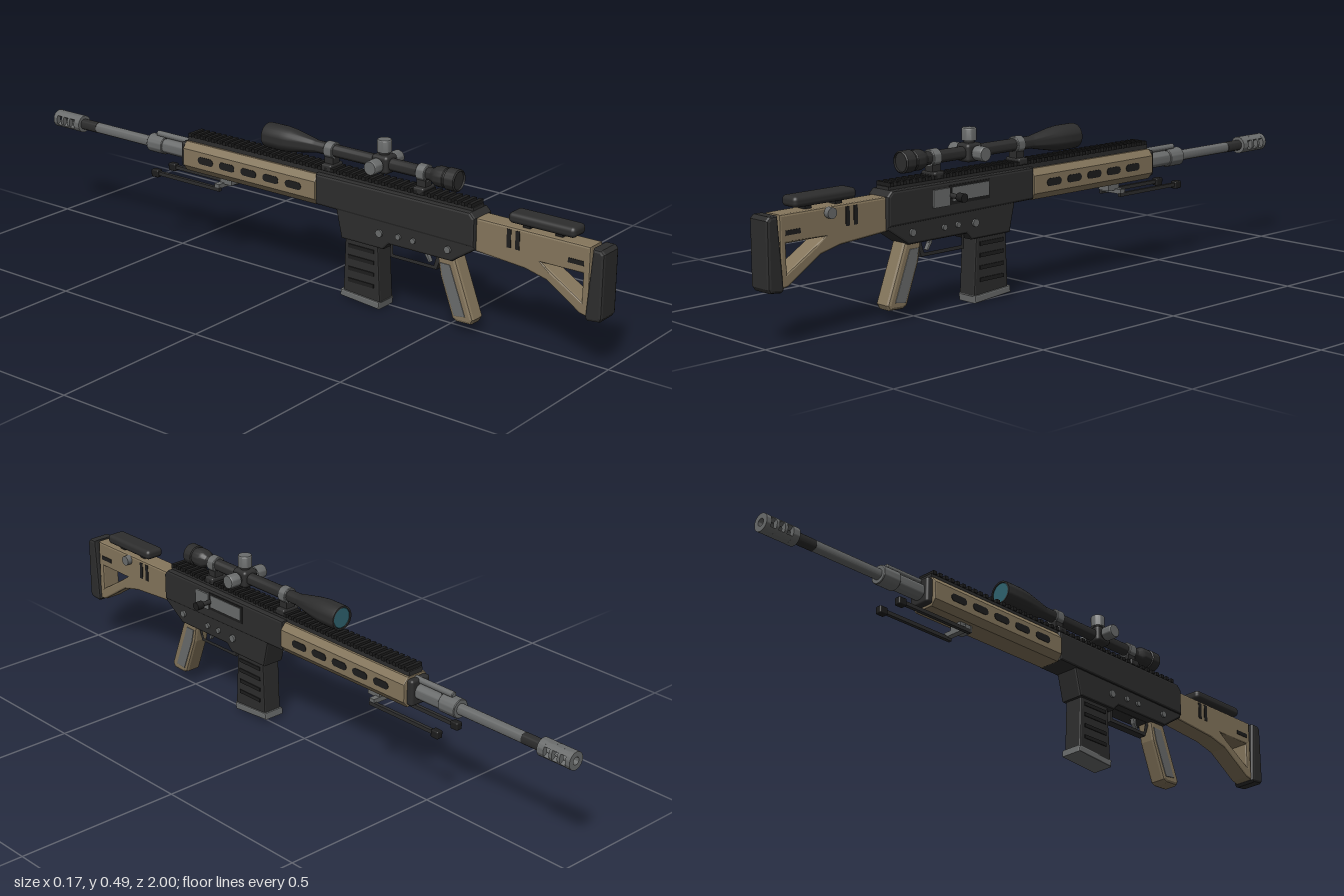
import * as THREE from 'three';
import { toCreasedNormals } from 'three/addons/utils/BufferGeometryUtils.js';
import { RoundedBoxGeometry } from 'three/addons/geometries/RoundedBoxGeometry.js';

const mat = (name, color) => new THREE.MeshStandardMaterial({ name, color });

export function createModel() {
  const black = mat('black', 0x2d2d2d), dark = mat('darkBlack', 0x1d1d1d);
  const tan = mat('tan', 0x85765c), grey = mat('steelGrey', 0x6a6c6c);
  const glass = mat('tealGlass', 0x2f6470);
  const root = new THREE.Group();
  root.name = 'rifle';
  const body = new THREE.Group();
  body.name = 'rifleBody';
  body.position.x = -0.0155;
  root.add(body);

  const add = (name, geo, material, x = 0, y = 0, z = 0) => {
    const m = new THREE.Mesh(geo, material);
    m.name = name;
    m.position.set(x, y, z);
    body.add(m);
    return m;
  };
  const box = (name, material, w, h, d, x, y, z) =>
    add(name, new THREE.BoxGeometry(w, h, d), material, x, y, z);
  const rbox = (name, material, w, h, d, x, y, z, r) =>
    add(name, new RoundedBoxGeometry(w, h, d, 3, r), material, x, y, z);
  const toShape = pts => new THREE.Shape(pts.map(p => new THREE.Vector2(...p)));

  // side profile of [z, y] points, extruded across the width
  const side = (name, material, pts, w, bevel = 0.006, holes = [], x = 0) => {
    const s = toShape(pts);
    holes.forEach(h => s.holes.push(toShape(h)));
    const g = new THREE.ExtrudeGeometry(s, {
      depth: w - 2 * bevel, bevelEnabled: bevel > 0, bevelSize: bevel,
      bevelThickness: bevel, bevelOffset: -bevel, bevelSegments: 2, curveSegments: 8,
    });
    g.translate(0, 0, bevel - w / 2).rotateY(-Math.PI / 2);
    return add(name, g, material, x);
  };
  // profile of [radius, z] points, turned about the z axis
  const turned = (name, material, pts, y, seg = 32) => {
    const g = new THREE.LatheGeometry(pts.map(p => new THREE.Vector2(...p)), seg).rotateX(Math.PI / 2);
    return add(name, toCreasedNormals(g, 0.6), material, 0, y, 0);
  };
  // closed rod along z
  const rod = (name, material, r, z0, z1, y) =>
    turned(name, material, [[0, z0], [r - 0.002, z0], [r, z0 + 0.002], [r, z1 - 0.002], [r - 0.002, z1], [0, z1]], y);
  // short cylinder along x
  const pin = (name, material, r, len, x, y, z) =>
    add(name, new THREE.CylinderGeometry(r, r, len, 24).rotateZ(Math.PI / 2), material, x, y, z);

  // ---- stock ----
  side('stock', tan, [[0.6, 0.345], [0.955, 0.345], [0.955, 0.15], [0.93, 0.155], [0.826, 0.222], [0.76, 0.238], [0.6, 0.25]],
    0.06, 0.006, [[[0.935, 0.268], [0.81, 0.268], [0.84, 0.248], [0.935, 0.19]]]);
  side('buttPad', black, [[1, 0.335], [0.99, 0.345], [0.965, 0.345], [0.95, 0.15], [0.958, 0.143], [0.993, 0.147], [1, 0.158]], 0.076, 0.008);
  rbox('cheekRest', black, 0.06, 0.03, 0.205, 0, 0.369, 0.803, 0.012);
  for (const z of [0.75, 0.85]) box('cheekRestPost', dark, 0.026, 0.03, 0.022, 0, 0.348, z);
  pin('cheekRestKnob', grey, 0.015, 0.018, 0.037, 0.33, 0.797);
  for (const s of [-1, 1]) {
    for (const z of [0.735, 0.708]) box('stockSlot', dark, 0.003, 0.052, 0.013, s * 0.03, 0.312, z);
    box('slingSlot', dark, 0.003, 0.013, 0.048, s * 0.03, 0.296, 0.914);
  }

  // ---- receiver ----
  side('upperReceiver', black, [[0.605, 0.345], [0.59, 0.36], [0.065, 0.36], [0.065, 0.268], [0.605, 0.262]], 0.086, 0.007);
  side('lowerReceiver', black, [[0.605, 0.29], [0.605, 0.255], [0.53, 0.205], [0.32, 0.205], [0.3, 0.185],
    [0.155, 0.185], [0.135, 0.27], [0.135, 0.29]], 0.076, 0.006);
  box('ejectionPortFrame', dark, 0.006, 0.054, 0.15, 0.042, 0.323, 0.315);
  box('ejectionPortBolt', grey, 0.008, 0.038, 0.135, 0.043, 0.325, 0.313);
  box('boltShroud', grey, 0.009, 0.05, 0.06, 0.044, 0.32, 0.42);
  pin('boltStem', black, 0.007, 0.05, 0.062, 0.322, 0.385);
  pin('boltKnob', dark, 0.0125, 0.023, 0.089, 0.322, 0.385);
  for (const s of [-1, 1])
    for (const [z, y, r] of [[0.405, 0.236, 0.008], [0.355, 0.236, 0.008], [0.29, 0.232, 0.011], [0.52, 0.238, 0.01]])
      pin('receiverPin', grey, r, 0.008, s * 0.04, y, z);

  // ---- grip, trigger and guard ----
  side('pistolGrip', tan, [[0.53, 0.225], [0.475, 0.215], [0.487, 0.15], [0.53, 0.035], [0.545, 0.028], [0.59, 0.03], [0.598, 0.045]], 0.054, 0.009);
  side('gripPanel', grey, [[0.52, 0.19], [0.488, 0.19], [0.497, 0.15], [0.538, 0.045], [0.574, 0.05]], 0.058, 0.002);
  side('triggerGuard', black, [[0.485, 0.21], [0.466, 0.158], [0.308, 0.158], [0.308, 0.21]], 0.026, 0.002,
    [[[0.47, 0.206], [0.459, 0.167], [0.317, 0.167], [0.317, 0.206]]]);
  side('trigger', grey, [[0.435, 0.215], [0.418, 0.215], [0.422, 0.19], [0.435, 0.17], [0.441, 0.173], [0.431, 0.192]], 0.014, 0.002);

  // ---- magazine ----
  side('magazine', black, [[0.278, 0.2], [0.165, 0.2], [0.158, 0.026], [0.288, 0.018]], 0.062, 0.005);
  side('magazineBase', grey, [[0.288, 0.022], [0.152, 0.031], [0.15, 0.011], [0.286, 0]], 0.07, 0.004);
  for (const s of [-1, 1])
    for (const y of [0.065, 0.1, 0.135, 0.168]) box('magazineRib', dark, 0.006, 0.011, 0.09, s * 0.031, y, 0.222);

  // ---- handguard ----
  const guard = toShape([[-0.032, 0.355], [-0.047, 0.336], [-0.047, 0.284], [-0.032, 0.265],
    [0.032, 0.265], [0.047, 0.284], [0.047, 0.336], [0.032, 0.355]]);
  add('handguard', new THREE.ExtrudeGeometry(guard, {
    depth: 0.494, bevelEnabled: true, bevelSize: 0.003, bevelThickness: 0.003, bevelOffset: -0.003, bevelSegments: 2,
  }), tan, 0, 0, -0.43);
  for (const s of [-1, 1])
    for (let i = 0; i < 5; i++) {
      const slot = new THREE.Shape();
      slot.absarc(0.018, 0, 0.011, -Math.PI / 2, Math.PI / 2);
      slot.absarc(-0.018, 0, 0.011, Math.PI / 2, Math.PI * 1.5);
      const g = new THREE.ExtrudeGeometry(slot, { depth: 0.003, bevelEnabled: false });
      add('handguardVent', g.rotateY(s * Math.PI / 2), dark, s * 0.0455, 0.311, -0.012 - i * 0.083);
    }
  rbox('handguardCap', black, 0.07, 0.078, 0.024, 0, 0.311, -0.44, 0.008);

  // ---- top rail ----
  box('railBase', black, 0.05, 0.016, 1.02, 0, 0.361, 0.08);
  for (let i = 0; i < 46; i++) box('railTooth', dark, 0.058, 0.011, 0.012, 0, 0.374, 0.58 - i * 0.0222);

  // ---- barrel ----
  const by = 0.311;
  rod('barrel', grey, 0.016, -0.84, -0.43, by);
  rod('barrelThread', black, 0.0165, -0.895, -0.825, by);
  rod('gasBlock', grey, 0.024, -0.545, -0.45, by);
  rod('barrelCollar', grey, 0.028, -0.6, -0.54, by);
  rod('gasTube', grey, 0.009, -0.575, -0.43, 0.343);
  box('gasTubeBridge', black, 0.016, 0.024, 0.03, 0, 0.334, -0.55);

  // ---- muzzle brake: shells above and below, rings between the ports ----
  const brake = (shape, z, depth) => {
    const g = new THREE.ExtrudeGeometry(shape, { depth, bevelEnabled: false, curveSegments: 16 });
    add('muzzleBrake', toCreasedNormals(g, 0.6), grey, 0, by, z);
  };
  for (const mid of [Math.PI / 2, -Math.PI / 2]) {
    const shell = new THREE.Shape();
    shell.absarc(0, 0, 0.026, mid - 0.98, mid + 0.98, false);
    shell.absarc(0, 0, 0.011, mid + 0.98, mid - 0.98, true);
    brake(shell, -0.999, 0.108);
  }
  const ring = new THREE.Shape();
  ring.absarc(0, 0, 0.0262, 0, Math.PI * 2);
  ring.holes.push(new THREE.Path().absarc(0, 0, 0.011, 0, Math.PI * 2, true));
  for (const [z, d] of [[-1, 0.015], [-0.967, 0.009], [-0.94, 0.009], [-0.912, 0.022]]) brake(ring, z, d);

  // ---- bipod, folded forward ----
  box('bipodMount', grey, 0.04, 0.022, 0.045, 0, 0.256, -0.29);
  box('bipodCrossbar', grey, 0.086, 0.014, 0.018, 0, 0.242, -0.305);
  for (const s of [-1, 1]) {
    const x = s * 0.038;
    box('bipodLeg', black, 0.011, 0.011, 0.26, x, 0.233, -0.425);
    rbox('bipodFoot', dark, 0.021, 0.023, 0.027, x, 0.232, -0.55, 0.004);
  }

  // ---- scope ----
  const sy = 0.425;
  turned('scopeTube', black, [[0, -0.128], [0.031, -0.128], [0.031, -0.139], [0.036, -0.139], [0.037, -0.13], [0.037, -0.075],
    [0.034, -0.045], [0.02, 0.03], [0.018, 0.04], [0.018, 0.44], [0.026, 0.452], [0.029, 0.462], [0.029, 0.485],
    [0.027, 0.487], [0.027, 0.492], [0.031, 0.494], [0.031, 0.524], [0.027, 0.527], [0.027, 0.52], [0, 0.52]], sy);
  rod('objectiveLens', glass, 0.0312, -0.137, -0.128, sy);
  for (const z of [0.41, 0.092]) {
    rod('scopeRing', grey, 0.024, z - 0.015, z + 0.015, sy);
    box('scopeRingFoot', black, 0.03, 0.04, 0.03, 0, 0.393, z);
    rbox('scopeClamp', black, 0.058, 0.02, 0.036, 0, 0.378, z, 0.005);
  }
  rbox('turretHousing', black, 0.052, 0.052, 0.056, 0, sy, 0.275, 0.01);
  // three adjustment caps: top, left, right
  for (const a of [0, 1, -1]) {
    const dir = new THREE.Vector3(a, a ? 0 : 1, 0);
    const cap = new THREE.LatheGeometry([[0, 0.033], [0.021, 0.033], [0.021, 0.065], [0.019, 0.068], [0, 0.068]]
      .map(p => new THREE.Vector2(...p)), 24).rotateZ(-a * Math.PI / 2);
    add('turretCap', toCreasedNormals(cap, 0.6), grey, 0, sy, 0.275);
    const neck = new THREE.CylinderGeometry(0.015, 0.015, 0.02, 24).rotateZ(-a * Math.PI / 2);
    add('turretNeck', neck, black, dir.x * 0.028, sy + dir.y * 0.028, 0.275);
  }
  return root;
}
